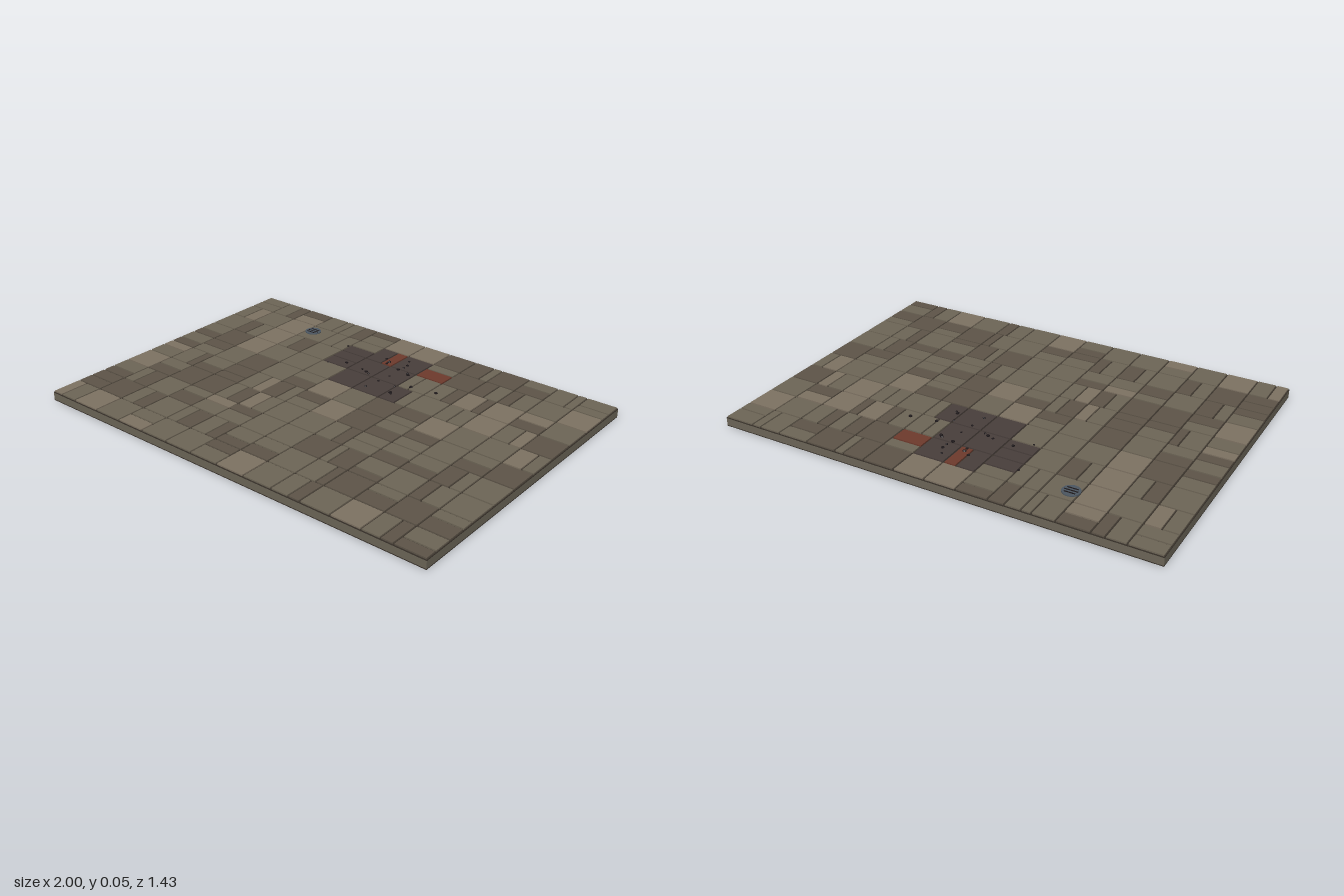
import * as THREE from 'three';

const CELL = 1 / 7, COLS = 14, ROWS = 10;
const BED = 0.04, TOP = 0.046, GAP = 0.008;
const mat = (color) => new THREE.MeshStandardMaterial({ color });

// Stone tones: light, medium, dark, scorched, rust
const tones = {
  l: mat(0x7d7262), m: mat(0x6d6556), d: mat(0x5d5448), c: mat(0x483e3b), r: mat(0x6e3a2c),
};
const mortar = mat(0x38312a), sideStone = mat(0x6b6557), iron = mat(0x4b5661), black = mat(0x1c1719);

// One code per cell: a tone for a whole slab, or split direction (v across x,
// h across z), split position in tenths, and the two tones
const layout = [
  'h5mm v6md h5dl v7mm v5md h4dm l l d v7dm d h5md v7mm h6mm',
  'v5ml m l m v5mm h5mc v6cr c h4mr d v5dm v4dm m l',
  'm v5dm l v4md m h5cc c c v4mm v6md v7ld l h5ld m',
  'h6md d l m m m c c v6cm m v5mm l v6ml d',
  'h6md h5dm m d m h5md l m d h6dm l m m v6lm',
  'h4lm v7md h6md h6dd v6ml v6dm h5dm l d h5md h5dm m h5md d',
  'l h5md d d v5md v5lm m m v6md h5mm h5md h6md v6dm m',
  'h6md v4md m h4md h4lm h4dm m m d v3md h7md m v4dm m',
  'h5dd d v5md m v4md v6md h6md h5md m v7md d h4md d h4md',
  'v4lm l m h5ml m m h4dm l m v6md m l v6md h6md',
].map((row) => row.split(' '));

function box(name, material, w, h, d, x, y, z) {
  const mesh = new THREE.Mesh(new THREE.BoxGeometry(w, h, d), material);
  mesh.name = name;
  mesh.position.set(x, y, z);
  return mesh;
}

// A paving stone filling a rectangle, less the joint
function stone(tone, x0, z0, w, d) {
  return box('pavingStone', tones[tone], w - GAP, TOP - BED + 0.004, d - GAP,
    x0 + w / 2, (TOP + BED - 0.004) / 2, z0 + d / 2);
}

function paving() {
  const group = new THREE.Group();
  group.name = 'paving';
  for (let r = 0; r < ROWS; r++) for (let c = 0; c < COLS; c++) {
    const code = layout[r][c];
    const x = (c - COLS / 2) * CELL, z = (r - ROWS / 2) * CELL;
    if (code.length === 1) {
      group.add(stone(code, x, z, CELL, CELL));
      continue;
    }
    const a = CELL * Number(code[1]) / 10, b = CELL - a;
    if (code[0] === 'v') {
      group.add(stone(code[2], x, z, a, CELL), stone(code[3], x + a, z, b, CELL));
    } else {
      group.add(stone(code[2], x, z, CELL, a), stone(code[3], x, z + a, CELL, b));
    }
  }
  return group;
}

// Round iron drain with dark slots
function drain() {
  const group = new THREE.Group();
  group.name = 'drain';
  const disc = new THREE.Mesh(new THREE.CylinderGeometry(0.039, 0.039, 0.006, 16), iron);
  disc.name = 'drainCover';
  group.add(disc);
  [-0.016, 0, 0.016].forEach((z, i) =>
    group.add(box('drainSlot', black, i === 1 ? 0.06 : 0.048, 0.002, 0.006, 0, 0.003, z)));
  group.position.set(-0.535, 0.047, -0.51);
  return group;
}

// Charred crumbs: x, z, radius in hundredths
function debris() {
  const group = new THREE.Group();
  group.name = 'debris';
  const crumbs = [
    [-29, -48, 0.6], [-18, -33, 0.8], [-25, -28, 0.5], [-6, -48, 0.7], [-3, -46, 0.9], [-3, -44, 0.7],
    [4, -52, 0.6], [6, -48, 0.8], [5, -42, 0.9], [11, -41, 0.8], [12, -40, 0.8], [6, -45, 0.6],
    [-8, -32, 0.6], [-5, -31, 0.9], [-3, -30, 0.6], [5, -27, 0.6], [4, -19, 0.7], [16, -21, 0.9],
    [17, -20, 0.6], [20, -31, 0.9], [32, -33, 0.9], [14, -27, 0.5], [6, -34, 0.5],
  ];
  crumbs.forEach(([x, z, r], i) => {
    const crumb = new THREE.Mesh(new THREE.DodecahedronGeometry(r / 100), black);
    crumb.name = 'crumb';
    crumb.scale.y = 0.6;
    crumb.rotation.y = i * 1.3;
    crumb.position.set(x / 100, TOP + 0.002, z / 100);
    group.add(crumb);
  });
  return group;
}

export function createModel() {
  const model = new THREE.Group();
  model.name = 'pavedFloor';
  const w = COLS * CELL, d = ROWS * CELL;
  // Layered base: dark underside, stone sides, mortar bed
  model.add(
    box('underside', mortar, w, 0.004, d, 0, 0.002, 0),
    box('baseSlab', sideStone, w, 0.033, d, 0, 0.0205, 0),
    box('mortarBed', mortar, w, BED - 0.037, d, 0, (BED + 0.037) / 2, 0),
    paving(), drain(), debris(),
  );
  return model;
}
